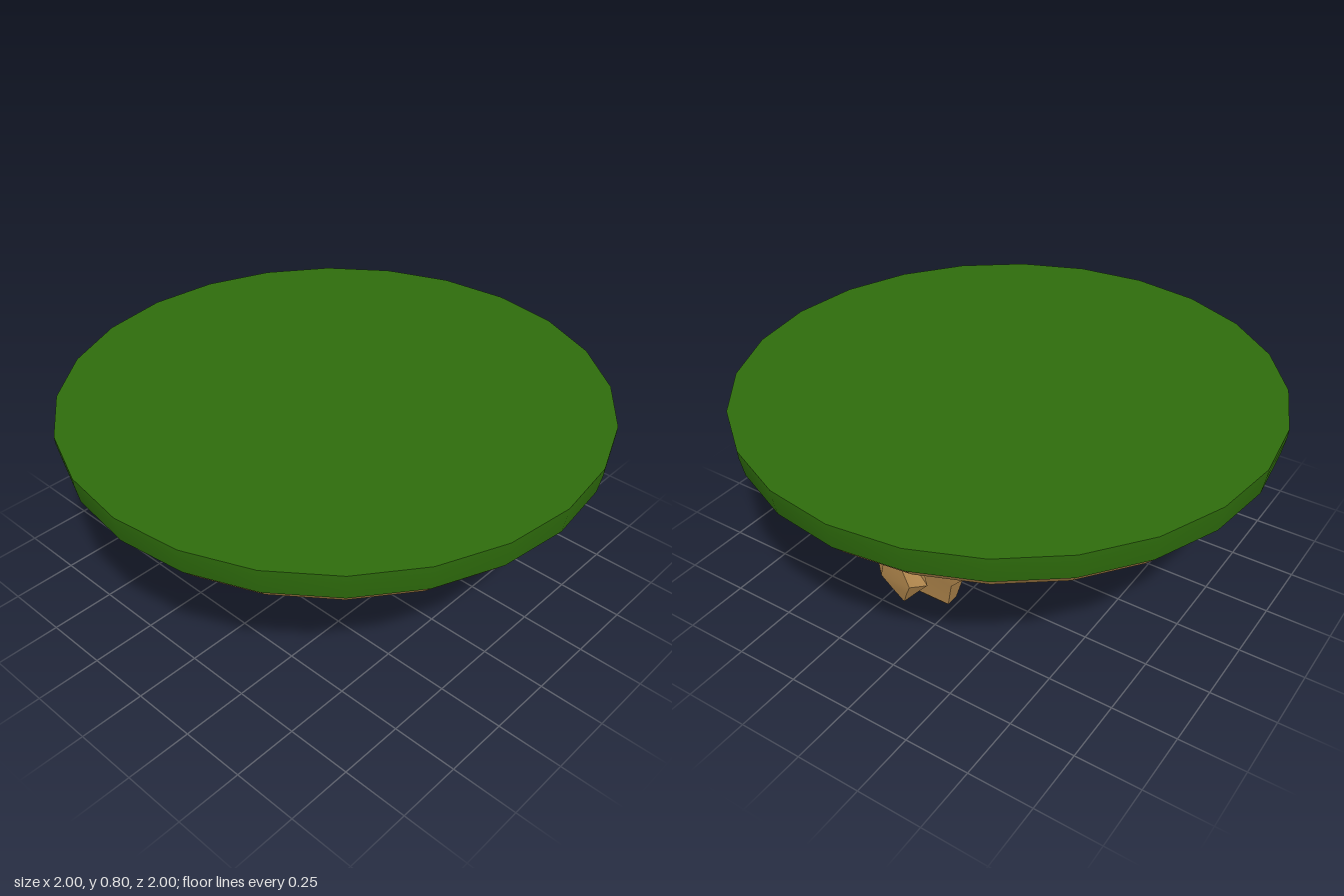
import * as THREE from 'three';
import { toCreasedNormals } from 'three/addons/utils/BufferGeometryUtils.js';

const ROCK = new THREE.MeshStandardMaterial({ color: 0xb98d50 });
const GRASS = new THREE.MeshStandardMaterial({ color: 0x2e6c0c });

// Radius factors by angle
const round = () => 1;
const square = (a) => 1 / Math.max(Math.abs(Math.cos(a)), Math.abs(Math.sin(a)));
// Square with a pointed overhang on the +x side
const overhang = (a) => {
  const c = Math.cos(a);
  return square(a) * (c > 0.99 ? 1.48 : c > 0.85 ? 1.16 : 1);
};

// Skin over horizontal sections, listed from top to bottom, with both ends closed
function loft(sections, sides, start, crease) {
  const pos = [], index = [];
  for (const { y, x = 0, rx, rz = rx, shape = square } of sections) {
    for (let j = 0; j < sides; j++) {
      const a = start + (j / sides) * Math.PI * 2;
      const f = shape(a);
      pos.push(x + rx * f * Math.cos(a), y, rz * f * Math.sin(a));
    }
  }
  const last = sections.length - 1;
  for (let i = 0; i < last; i++) {
    for (let j = 0; j < sides; j++) {
      const k = (j + 1) % sides;
      const a = i * sides + j, b = i * sides + k;
      index.push(a, b, a + sides, b, b + sides, a + sides);
    }
  }
  const top = pos.length / 3, bottom = top + 1;
  pos.push(sections[0].x || 0, sections[0].y, 0);
  pos.push(sections[last].x || 0, sections[last].y, 0);
  for (let j = 0; j < sides; j++) {
    const k = (j + 1) % sides;
    index.push(top, k, j, bottom, last * sides + j, last * sides + k);
  }
  const g = new THREE.BufferGeometry();
  g.setAttribute('position', new THREE.Float32BufferAttribute(pos, 3));
  g.setIndex(index);
  return toCreasedNormals(g, crease);
}

// Hanging rock with 4 or 6 sides; rows are [y, xMin, xMax, half width in z]
function stalactite(sides, rows) {
  const sections = rows.map(([y, x0, x1, rz]) => ({
    y, x: (x0 + x1) / 2, rx: (x1 - x0) / 2, rz,
  }));
  return loft(sections, sides, Math.PI / sides, 0.4);
}

export function createModel() {
  const group = new THREE.Group();
  const add = (name, geometry, material) => {
    const mesh = new THREE.Mesh(geometry, material);
    mesh.name = name;
    group.add(mesh);
  };

  // Turf slab with a slightly tapered edge
  add('grassTop', loft([
    { y: 0.8, rx: 1, shape: round },
    { y: 0.77, rx: 0.998, shape: round },
    { y: 0.7, rx: 0.985, shape: round },
  ], 24, 0, 0.6), GRASS);

  // Round under the turf, turning into a four-sided point with a narrow ledge
  add('rockBase', loft([
    { y: 0.7, rx: 0.984, shape: round },
    { y: 0.65, rx: 0.938, shape: round },
    { y: 0.5, rx: 0.5, rz: 0.58, shape: overhang },
    { y: 0.498, rx: 0.498, rz: 0.578 },
    { y: 0.4, rx: 0.36, rz: 0.435 },
    { y: 0.37, rx: 0.3, rz: 0.345 },
    { y: 0.345, rx: 0.32, rz: 0.37 },
    { y: 0.107, rx: 0.085, rz: 0.095 },
    { y: 0, rx: 0.025, rz: 0.03 },
  ], 24, 0, 0.6), ROCK);

  // Two hanging rocks on the left side
  add('largeStalactite', stalactite(4, [
    [0.51, 0.41, 0.575, 0.305],
    [0.42, 0.38, 0.56, 0.22],
    [0.35, 0.4, 0.555, 0.185],
    [0.26, 0.445, 0.53, 0.105],
    [0.14, 0.455, 0.505, 0.07],
    [0.115, 0.47, 0.485, 0.025],
  ]), ROCK);
  add('smallStalactiteRoot', stalactite(6, [
    [0.57, 0.59, 0.74, 0.06],
    [0.5, 0.59, 0.74, 0.11],
    [0.475, 0.6, 0.737, 0.125],
    [0.45, 0.63, 0.725, 0.09],
  ]), ROCK);
  add('smallStalactite', stalactite(6, [
    [0.46, 0.645, 0.715, 0.055],
    [0.36, 0.62, 0.705, 0.105],
    [0.31, 0.64, 0.69, 0.06],
    [0.245, 0.662, 0.668, 0.005],
  ]), ROCK);

  return group;
}
